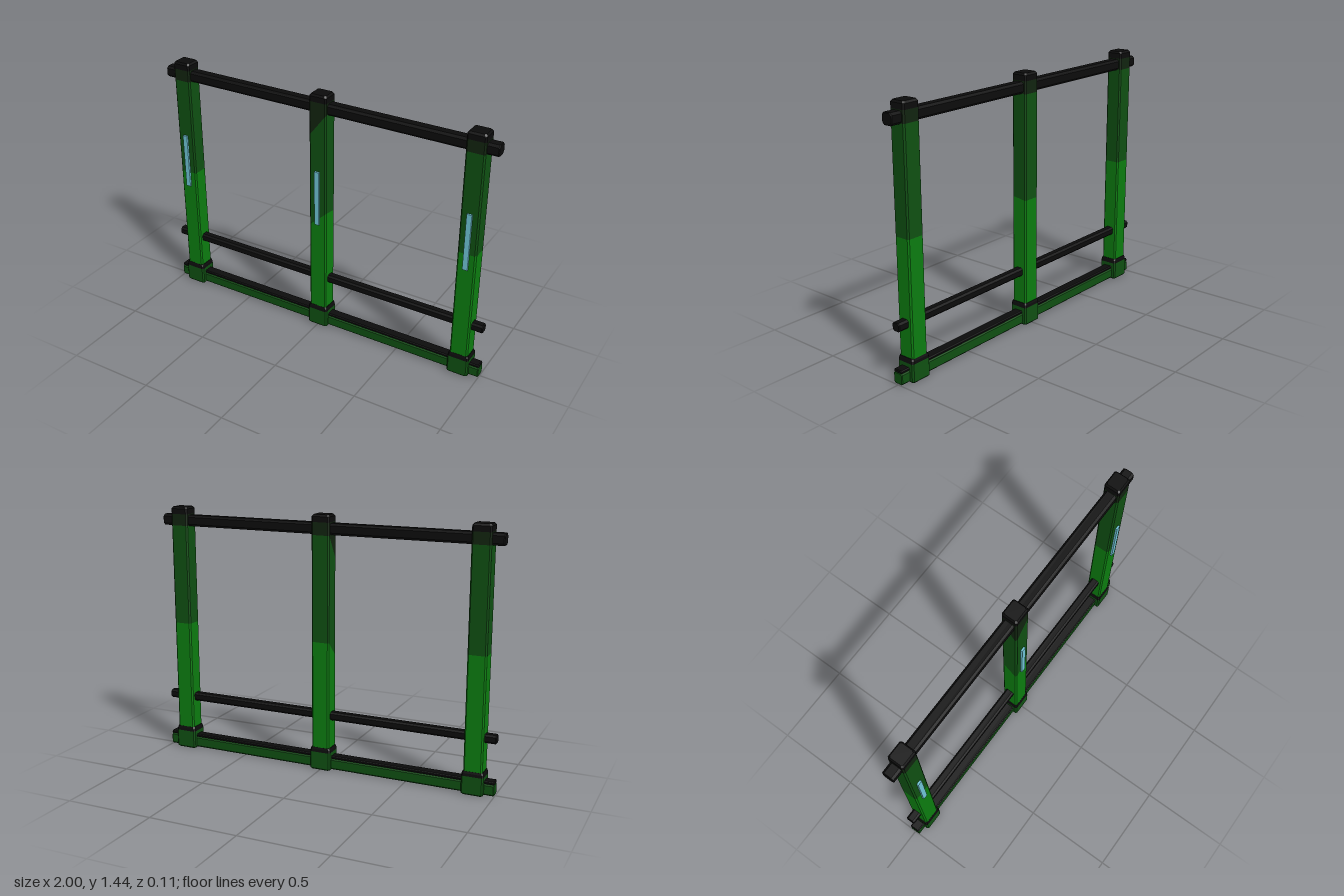
import * as THREE from 'three';

const mat = (name, color) => {
  const m = new THREE.MeshStandardMaterial({ color });
  m.name = name;
  return m;
};

// Chamfered prism along y. Each level is { y, inset }, where y may be a rule of (x, z).
function prism(w, d, chamfer, levels) {
  const pos = [];
  const rings = levels.map(({ y, inset = 0 }) => {
    const a = w / 2 - inset, b = d / 2 - inset, c = chamfer;
    const corners = [[a, b - c], [a - c, b], [c - a, b], [-a, b - c], [-a, c - b], [c - a, -b], [a - c, -b], [a, c - b]];
    return corners.map(([x, z]) => [x, typeof y === 'function' ? y(x, z) : y, z]);
  });
  const tri = (...pts) => pts.forEach((p) => pos.push(...p));
  for (let k = 0; k < rings.length - 1; k++) {
    for (let i = 0; i < 8; i++) {
      const j = (i + 1) % 8, lo = rings[k], hi = rings[k + 1];
      tri(lo[i], hi[j], lo[j]);
      tri(lo[i], hi[i], hi[j]);
    }
  }
  const bottom = rings[0], top = rings[rings.length - 1];
  for (let i = 1; i < 7; i++) {
    tri(bottom[0], bottom[i], bottom[i + 1]);
    tri(top[0], top[i + 1], top[i]);
  }
  const g = new THREE.BufferGeometry();
  g.setAttribute('position', new THREE.Float32BufferAttribute(pos, 3));
  g.computeVertexNormals();
  return g;
}

export function createModel() {
  const black = mat('black', 0x0c0c0c);
  const capGreen = mat('blackish green', 0x11240f);
  const darkGreen = mat('dark green', 0x0f5012);
  const green = mat('green', 0x0c7d10);
  const cyan = mat('pale cyan', 0x70c6d8);

  const model = new THREE.Group();
  model.name = 'railFrame';

  const add = (parent, name, geometry, material) => {
    const mesh = new THREE.Mesh(geometry, material);
    mesh.name = name;
    parent.add(mesh);
    return mesh;
  };

  // Horizontal rail along the full width
  const rail = (name, y0, y1, depth, chamfer, material) => {
    const g = prism(y1 - y0, depth, chamfer, [
      { y: -1, inset: 0.004 }, { y: -0.996 }, { y: 0.996 }, { y: 1, inset: 0.004 },
    ]);
    g.rotateZ(Math.PI / 2);
    add(model, name, g, material).position.y = (y0 + y1) / 2;
  };
  rail('topRail', 1.332, 1.395, 0.066, 0.012, black);
  rail('middleRail', 0.292, 0.34, 0.05, 0.01, black);
  rail('bottomRail', 0.004, 0.068, 0.06, 0.008, darkGreen);
  rail('bottomRailTop', 0.066, 0.084, 0.056, 0.005, black);

  // Posts with colour bands; the middle post has slanted bands on its front
  for (const [side, x] of [['right', -0.885], ['middle', 0], ['left', 0.885]]) {
    const post = new THREE.Group();
    post.name = side + 'Post';
    post.position.x = x;
    model.add(post);

    const slanted = side === 'middle';
    const lowBand = slanted ? (px, z) => (z > 0 ? 0.705 + px * 0.9 : 0.74) : 0.765;
    const highBand = slanted ? (px, z) => (z > 0 ? 1.27 + px * 1.3 : 1.33) : 1.335;
    const W = 0.104, D = 0.094, C = 0.008;

    add(post, 'lowerPost', prism(W, D, C, [{ y: 0.1 }, { y: lowBand }]), green);
    add(post, 'upperPost', prism(W, D, C, [{ y: lowBand }, { y: highBand }]), darkGreen);
    add(post, 'postCollar', prism(W, D, C, [{ y: highBand }, { y: 1.4 }]), capGreen);
    add(post, 'postCap', prism(W, D, C, [{ y: 1.4 }, { y: 1.43 }, { y: 1.441, inset: 0.008 }]), black);

    // Foot sleeve around the base
    add(post, 'footSleeve', prism(0.122, 0.108, 0.008, [
      { y: 0, inset: 0.006 }, { y: 0.007 }, { y: 0.105 },
    ]), darkGreen);
    add(post, 'footSleeveTop', prism(0.122, 0.108, 0.008, [
      { y: 0.105 }, { y: 0.12, inset: 0.002 }, { y: 0.131, inset: 0.006 },
    ]), black);

    // Light strip on the front
    add(post, 'lightStrip', new THREE.BoxGeometry(0.028, 0.325, 0.012), cyan).position.set(0, 0.838, 0.052);
  }
  return model;
}
